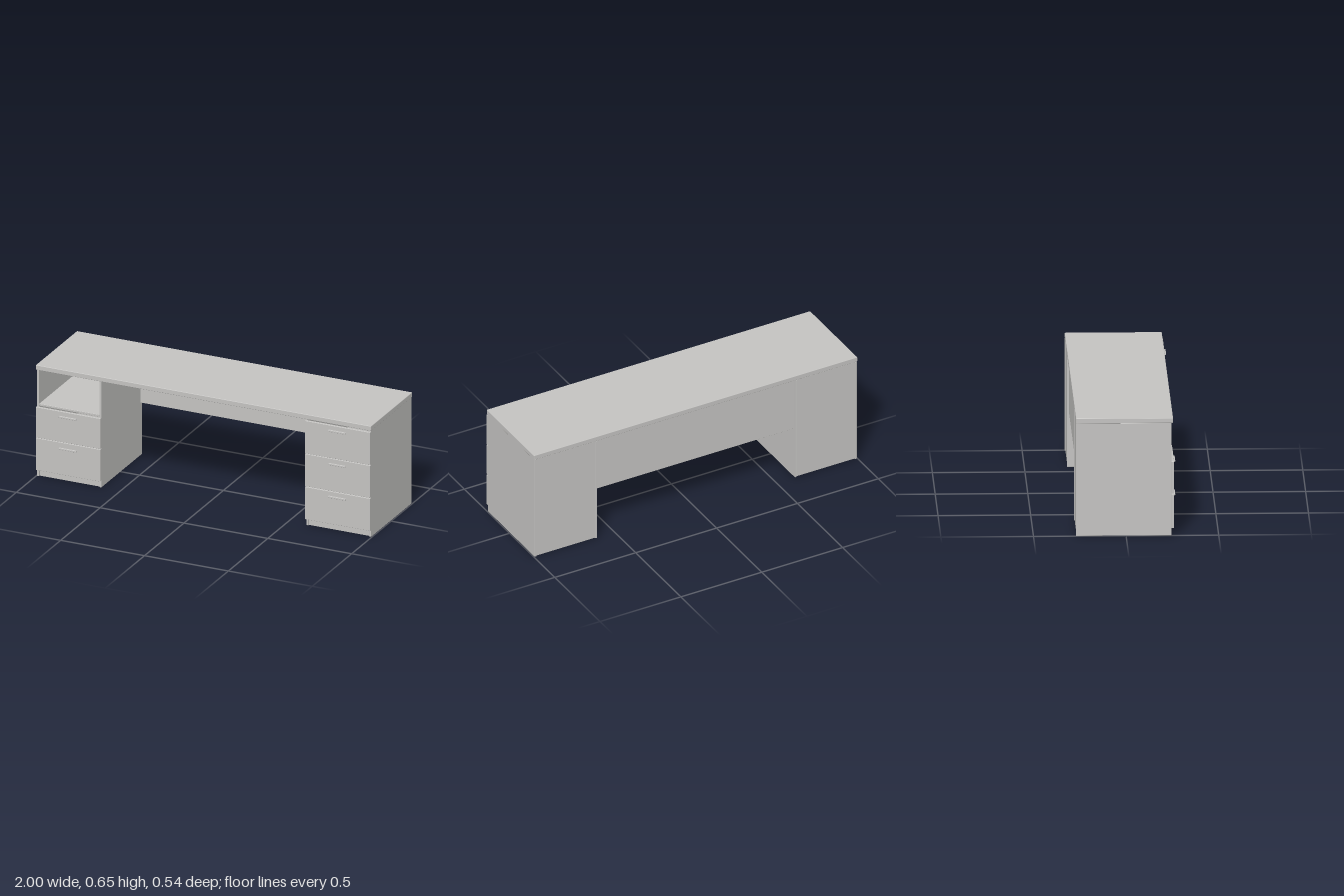
import * as THREE from 'three';
import { RoundedBoxGeometry } from 'three/addons/geometries/RoundedBoxGeometry.js';

const grey = new THREE.MeshStandardMaterial({ color: 0xc4c3c1 });
grey.name = 'greyLaminate';

// Board given by its extents on each axis, with slightly eased edges
function board(parent, name, [x0, x1], [y0, y1], [z0, z1], radius = 0.0015) {
  const geometry = new RoundedBoxGeometry(x1 - x0, y1 - y0, z1 - z0, 1, radius);
  const mesh = new THREE.Mesh(geometry, grey);
  mesh.name = name;
  mesh.position.set((x0 + x1) / 2, (y0 + y1) / 2, (z0 + z1) / 2);
  parent.add(mesh);
}

// Cabinet between two x positions; drawers are [bottom, top, handle height]
function pedestal(name, x0, x1, drawers, shelfY) {
  const g = new THREE.Group();
  g.name = name;
  const t = 0.012, back = -0.27, front = 0.245;
  const inner = [x0 + t, x1 - t];
  board(g, 'outerSide', [x0, x0 + t], [0, 0.624], [back, front]);
  board(g, 'innerSide', [x1 - t, x1], [0, 0.624], [back, front]);
  board(g, 'backPanel', inner, [0.002, 0.624], [back + 0.003, back + 0.015]);
  board(g, 'bottomPanel', inner, [0.003, 0.04], [back + 0.015, 0.225]);
  board(g, 'toeKick', inner, [0, 0.038], [0.225, 0.237]);
  if (shelfY) board(g, 'nicheShelf', inner, [shelfY - 0.012, shelfY], [back + 0.015, front]);

  const mid = (x0 + x1) / 2;
  for (const [y0, y1, handleY] of drawers) {
    board(g, 'drawerFront', [x0 - 0.001, x1 + 0.001], [y0, y1], [front, 0.26], 0.002);
    board(g, 'drawerHandle', [mid - 0.052, mid + 0.052],
      [handleY - 0.005, handleY + 0.005], [0.259, 0.27], 0.002);
  }
  return g;
}

export function createModel() {
  const desk = new THREE.Group();
  desk.name = 'desk';
  board(desk, 'desktop', [-1, 1], [0.624, 0.652], [-0.27, 0.254], 0.003);
  board(desk, 'modestyPanel', [-0.613, 0.609], [0.31, 0.624], [-0.26, -0.248]);

  desk.add(pedestal('rightPedestal', -0.996, -0.613,
    [[0.04, 0.228, 0.193], [0.231, 0.409, 0.379]], 0.425));
  desk.add(pedestal('leftPedestal', 0.609, 0.996,
    [[0.04, 0.23, 0.2], [0.234, 0.423, 0.392], [0.426, 0.617, 0.587]]));
  return desk;
}
